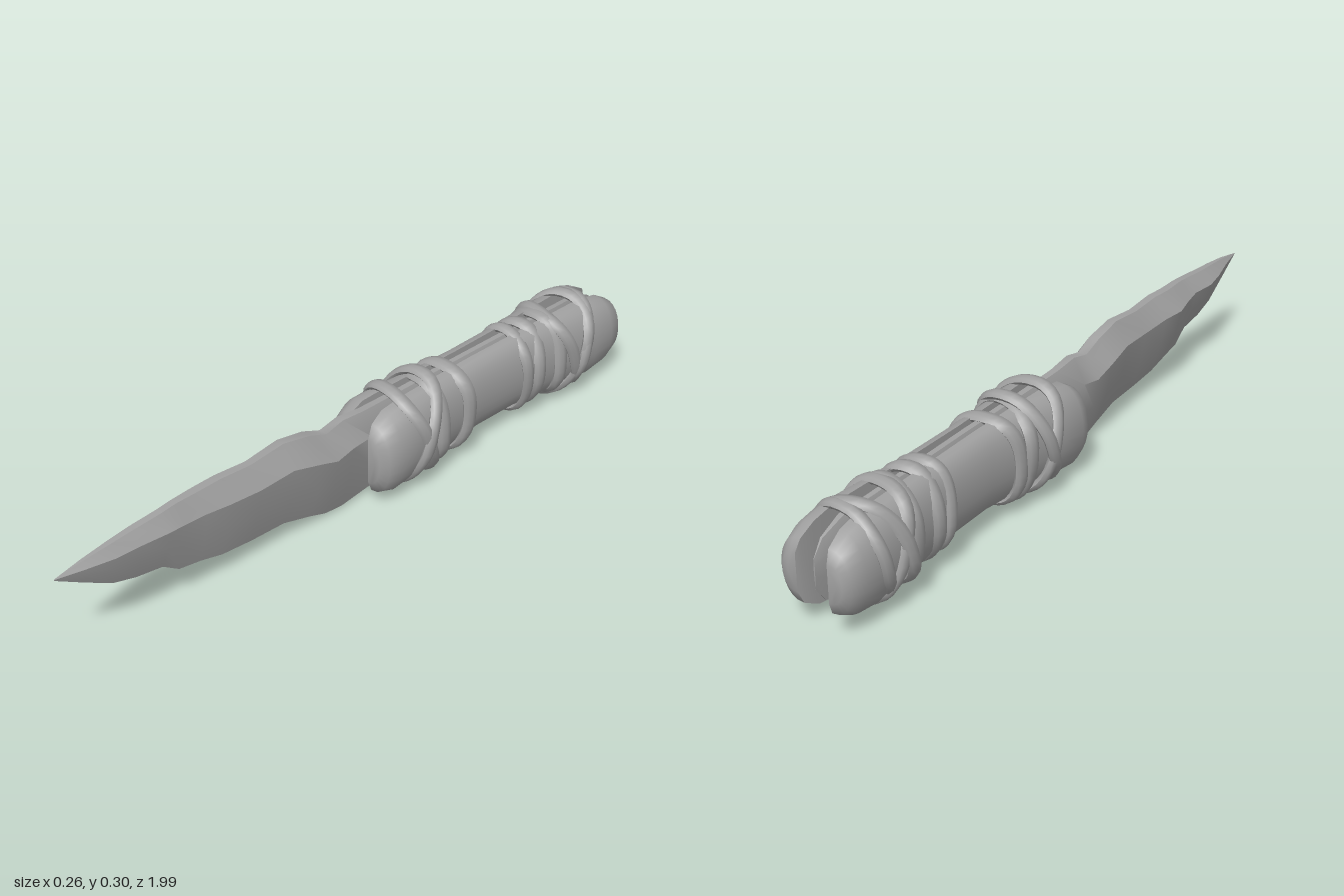
import * as THREE from 'three';
import { toCreasedNormals } from 'three/addons/utils/BufferGeometryUtils.js';

const stone = new THREE.MeshStandardMaterial({ color: 0xa0a0a0 });
stone.name = 'grey stone';

// Skin closed rings (counter-clockwise seen from +z, ordered back to front) and cap both ends.
function loft(rings, crease) {
  const n = rings[0].length, pos = [], idx = [];
  rings.forEach(r => r.forEach(p => pos.push(...p)));
  for (let i = 0; i < rings.length - 1; i++) {
    for (let j = 0; j < n; j++) {
      const a = i * n + j, b = i * n + (j + 1) % n;
      idx.push(a, b, b + n, a, b + n, a + n);
    }
  }
  [0, rings.length - 1].forEach(i => {
    const c = pos.length / 3;
    pos.push(...[0, 1, 2].map(k => rings[i].reduce((s, p) => s + p[k], 0) / n));
    for (let j = 0; j < n; j++) {
      const a = i * n + j, b = i * n + (j + 1) % n;
      idx.push(c, i ? a : b, i ? b : a);
    }
  });
  const g = new THREE.BufferGeometry();
  g.setAttribute('position', new THREE.Float32BufferAttribute(pos, 3));
  g.setIndex(idx);
  return toCreasedNormals(g, crease);
}

function part(name, geometry) {
  const m = new THREE.Mesh(geometry, stone);
  m.name = name;
  return m;
}

// Chipped blade sections: z, top, bottom, width towards -x, width towards +x
const BLADE = [
  [0.0, 0.272, 0.02, 0.04, 0.04], [0.08, 0.28, 0.012, 0.045, 0.05],
  [0.14, 0.267, 0.018, 0.05, 0.055], [0.2, 0.29, 0.038, 0.056, 0.06],
  [0.29, 0.307, 0.062, 0.05, 0.05], [0.4, 0.296, 0.066, 0.042, 0.046],
  [0.5, 0.303, 0.075, 0.05, 0.045], [0.57, 0.3, 0.092, 0.06, 0.036],
  [0.64, 0.3, 0.104, 0.045, 0.035], [0.69, 0.296, 0.138, 0.04, 0.04],
  [0.77, 0.29, 0.15, 0.046, 0.03], [0.84, 0.285, 0.17, 0.034, 0.028],
  [0.92, 0.278, 0.215, 0.016, 0.018], [1.0, 0.266, 0.262, 0.001, 0.001],
];
// Tang running through the grip to a thin wedge at the butt
const TANG = [
  [-0.98, 0.2, 0.12, 0.002, 0.002], [-0.95, 0.24, 0.08, 0.012, 0.012],
  [-0.88, 0.265, 0.05, 0.028, 0.028], [-0.6, 0.268, 0.055, 0.03, 0.03],
  [-0.4, 0.27, 0.048, 0.03, 0.032], [-0.15, 0.27, 0.035, 0.034, 0.034],
];

function bladeRing([z, top, bottom, l, r]) {
  const y = t => bottom + (top - bottom) * t;
  return [
    [r, y(0.74), z], [r * 0.25, y(1), z], [-l * 0.25, y(1), z], [-l, y(0.74), z],
    [-l * 0.72, y(0.4), z], [-l * 0.12, y(0), z], [r * 0.12, y(0), z], [r * 0.72, y(0.4), z],
  ];
}

// Grip scale sections: z, inner x, outer x, top, bottom
const SCALE = [
  [-0.99, 0.045, 0.085, 0.205, 0.105], [-0.975, 0.04, 0.1, 0.237, 0.07],
  [-0.93, 0.036, 0.11, 0.262, 0.045], [-0.86, 0.034, 0.112, 0.275, 0.035],
  [-0.7, 0.03, 0.094, 0.274, 0.042], [-0.55, 0.026, 0.083, 0.272, 0.052],
  [-0.4, 0.024, 0.081, 0.272, 0.052], [-0.25, 0.026, 0.09, 0.272, 0.04],
  [-0.12, 0.03, 0.11, 0.272, 0.03], [-0.04, 0.034, 0.116, 0.266, 0.025],
  [0.0, 0.038, 0.105, 0.243, 0.038], [0.02, 0.045, 0.085, 0.21, 0.075],
];

// D-shaped section, flat against the tang and rounded outside
function scaleRing([z, inner, outer, top, bottom], side) {
  const ring = [], n = 12;
  for (let i = 0; i <= n; i++) {
    const a = -Math.PI / 2 + Math.PI * i / n;
    const c = Math.max(0, Math.cos(a)) ** 0.8;
    ring.push([side * (inner + (outer - inner) * c),
      (top + bottom) / 2 + (top - bottom) / 2 * Math.sin(a), z]);
  }
  return side > 0 ? ring : ring.reverse();
}

// Flattened cord loop; tiltX and tiltY slant it sideways and up the grip
function strap(z0, rx, ry, tiltX, tiltY, width, seed) {
  const thick = 0.012;
  const g = new THREE.TorusGeometry(1, thick, 8, 36);
  const p = g.attributes.position;
  for (let i = 0; i < p.count; i++) {
    const a = Math.atan2(p.getY(i), p.getX(i));
    const dr = Math.hypot(p.getX(i), p.getY(i)) - 1 + 0.003 * Math.sin(4 * a + seed);
    const round = v => Math.sign(v) * Math.abs(v) ** 0.88;
    const z = z0 + tiltX * Math.cos(a) + tiltY * Math.sin(a) + 0.005 * Math.sin(3 * a + seed);
    p.setXYZ(i, round(Math.cos(a)) * (rx + dr), 0.154 + round(Math.sin(a)) * (ry + dr),
      z + p.getZ(i) / thick * width / 2);
  }
  return toCreasedNormals(g, 1);
}

// Loops: z, radius x, radius y, tilt x, tilt y, width
const FRONT_STRAPS = [
  [-0.155, 0.112, 0.132, 0.01, 0.055, 0.045],
  [-0.165, 0.114, 0.135, 0.015, -0.06, 0.045],
  [-0.235, 0.1, 0.124, 0.02, 0.012, 0.05],
  [-0.31, 0.094, 0.12, -0.015, -0.008, 0.05],
];
const REAR_STRAPS = [
  [-0.582, 0.086, 0.119, 0, 0.004, 0.042],
  [-0.63, 0.089, 0.12, 0, -0.004, 0.048],
  [-0.72, 0.097, 0.122, 0.008, 0.008, 0.05],
  [-0.775, 0.108, 0.126, 0.015, 0.055, 0.045],
  [-0.79, 0.11, 0.129, -0.02, -0.055, 0.045],
  [-0.835, 0.112, 0.125, 0.025, -0.035, 0.04],
];

function wrapping(name, list) {
  const group = new THREE.Group();
  group.name = name;
  list.forEach((s, i) => group.add(part('strap' + (i + 1), strap(...s, i * 1.7))));
  return group;
}

export function createModel() {
  const model = new THREE.Group();
  model.name = 'stoneKnife';

  // Blade and tang form one piece
  model.add(part('blade', loft([...TANG, ...BLADE].map(bladeRing), 0.6)));

  // Grip scales on both sides
  [['leftGripScale', 1], ['rightGripScale', -1]].forEach(([name, side]) => {
    model.add(part(name, loft(SCALE.map(s => scaleRing(s, side)), 0.9)));
  });

  // Cord bindings
  model.add(wrapping('frontBinding', FRONT_STRAPS));
  model.add(wrapping('rearBinding', REAR_STRAPS));
  return model;
}
